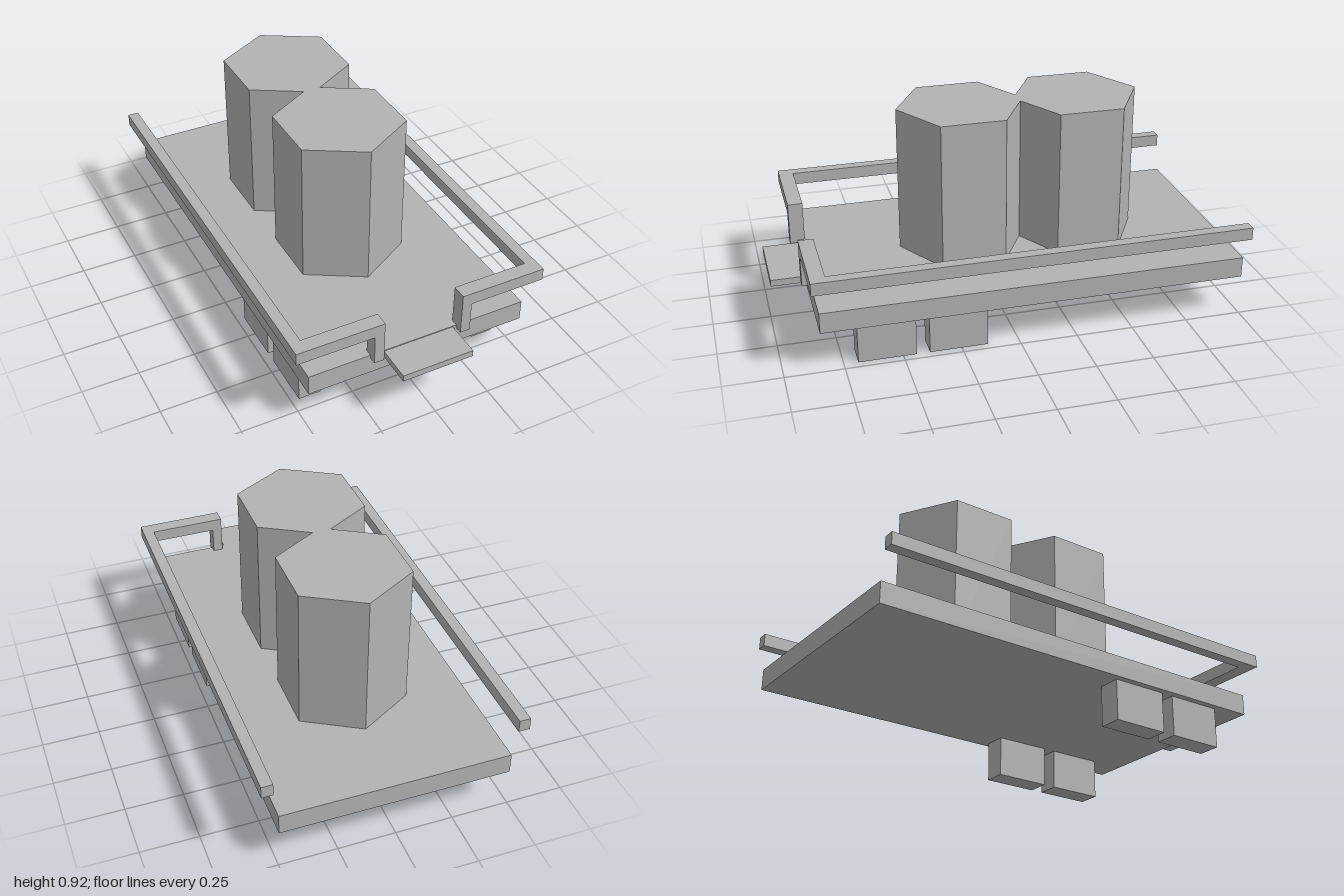
import * as THREE from 'three';

export function createModel() {
  const model = new THREE.Group();
  model.name = 'tankTrailer';
  const grey = new THREE.MeshStandardMaterial({ color: 0xb3b3b3 });
  grey.name = 'plain grey';

  const add = (name, geometry) => {
    const mesh = new THREE.Mesh(geometry, grey);
    mesh.name = name;
    model.add(mesh);
    return mesh;
  };
  // box given by its extents on each axis
  const block = (name, [x0, x1], [y0, y1], [z0, z1]) => {
    const mesh = add(name, new THREE.BoxGeometry(Math.abs(x1 - x0), y1 - y0, z1 - z0));
    mesh.position.set((x0 + x1) / 2, (y0 + y1) / 2, (z0 + z1) / 2);
  };

  // flat deck and the hitch tongue at its front
  block('deck', [-0.495, 0.495], [0.178, 0.27], [-1, 0.843]);
  block('hitchTongue', [-0.16, 0.16], [0.237, 0.266], [0.83, 1]);

  // two hexagonal tanks, points facing front and back
  for (const [name, z] of [['frontTank', 0.135], ['rearTank', -0.378]]) {
    const geometry = new THREE.CylinderGeometry(0.279, 0.279, 0.646, 6).toNonIndexed();
    geometry.computeVertexNormals();
    add(name, geometry).position.set(0, 0.592, z);
  }

  for (const [side, s] of [['left', 1], ['right', -1]]) {
    // L-shaped handrail, outlined in plan and extruded downwards
    const outline = [
      [0.513, -1], [0.562, -1], [0.562, 0.876],
      [0.177, 0.876], [0.177, 0.811], [0.513, 0.811],
    ].map(([x, z]) => new THREE.Vector2(s * x, z));
    const rail = new THREE.ExtrudeGeometry(new THREE.Shape(outline), { depth: 0.055, bevelEnabled: false });
    rail.rotateX(Math.PI / 2);
    add(side + 'Handrail', rail).position.y = 0.446;

    // post that carries the rail at the front
    block(side + 'RailPost', [s * 0.177, s * 0.221], [0.255, 0.391], [0.811, 0.876]);

    // pair of square wheels
    block(side + 'FrontWheel', [s * 0.366, s * 0.466], [0, 0.178], [0.443, 0.69]);
    block(side + 'RearWheel', [s * 0.366, s * 0.466], [0, 0.178], [0.137, 0.387]);
  }
  return model;
}
